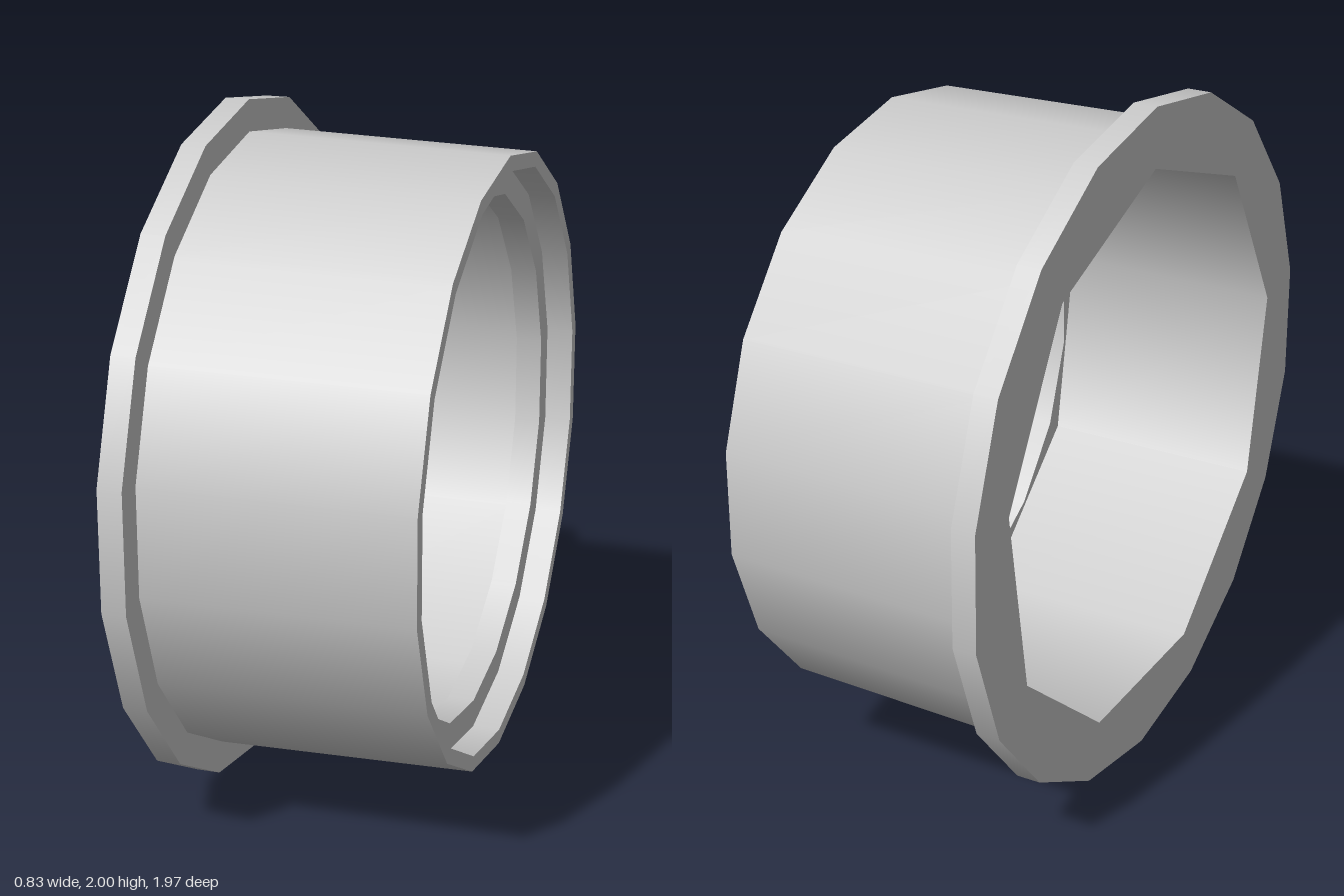
import * as THREE from 'three';
import { mergeGeometries } from 'three/addons/utils/BufferGeometryUtils.js';

const SIDES = 18;       // outer rings and front opening
const BORE_SIDES = 9;   // coarser rear bore

// Revolves each profile segment separately, so edges stay sharp while the round is smooth.
function ring(points, sides) {
  const strips = [];
  for (let i = 0; i < points.length - 1; i++) {
    const pair = [points[i], points[i + 1]].map(([r, x]) => new THREE.Vector2(r, x));
    strips.push(new THREE.LatheGeometry(pair, sides, -Math.PI / 2));
  }
  // lathe axis becomes +x, resting on the ground
  return mergeGeometries(strips).rotateZ(-Math.PI / 2).translate(0, 1, 0);
}

// Regular polygon with one corner at the top
function polygon(radius, sides) {
  return Array.from({ length: sides }, (_, i) => {
    const a = (i / sides) * Math.PI * 2;
    return new THREE.Vector2(Math.sin(a) * radius, Math.cos(a) * radius);
  });
}

// Flat face towards -x between two polygons of different side counts
function rearFace(x, outer, inner) {
  const shape = new THREE.Shape(outer);
  shape.holes.push(new THREE.Path(inner));
  return new THREE.ShapeGeometry(shape).rotateY(-Math.PI / 2).translate(x, 1, 0);
}

export function createModel() {
  const group = new THREE.Group();
  group.name = 'flangedBushing';
  const grey = new THREE.MeshStandardMaterial({ color: 0xcccccc });
  grey.name = 'plain grey';

  const back = -0.415, front = 0.415, step = 0.257;
  const openingR = 0.763, boreR = 0.825;

  // Profiles are [radius, position along the axis]
  const parts = {
    flange: ring([[1, back], [1, -0.345], [0.908, -0.345]], SIDES),
    flangeBack: rearFace(back, polygon(1, SIDES), polygon(boreR, BORE_SIDES)),
    taperedSleeve: ring([[0.908, -0.345], [0.891, front]], SIDES),
    rimAndRecess: ring([[0.891, front], [0.847, front], [0.847, 0.335], [openingR, 0.335]], SIDES),
    frontOpening: ring([[openingR, 0.335], [openingR, step]], SIDES),
    boreStep: rearFace(step, polygon(boreR, BORE_SIDES), polygon(openingR, SIDES)),
    rearBore: ring([[boreR, step], [boreR, back]], BORE_SIDES),
  };
  for (const [name, geometry] of Object.entries(parts)) {
    const mesh = new THREE.Mesh(geometry, grey);
    mesh.name = name;
    group.add(mesh);
  }
  return group;
}
